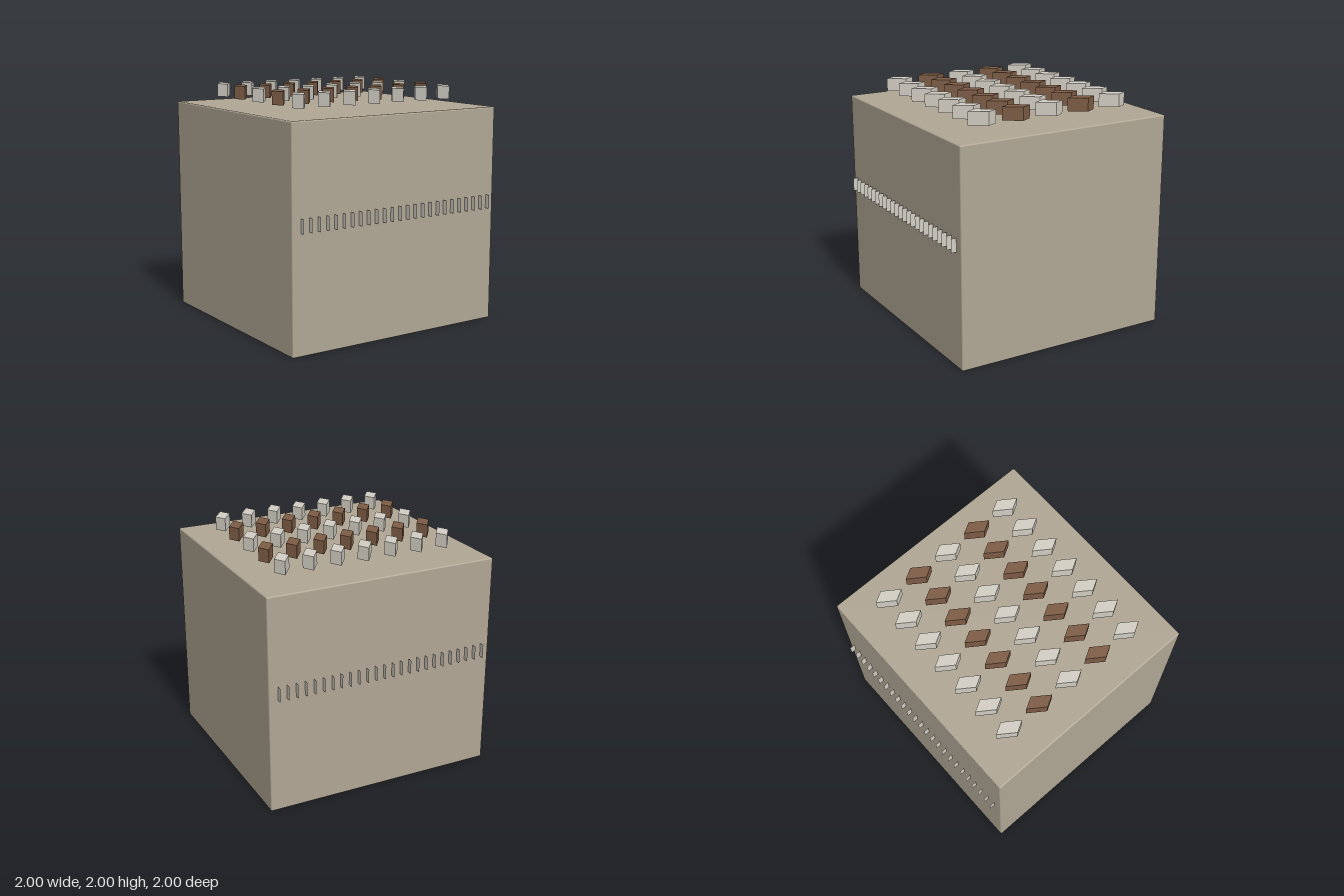
import * as THREE from 'three';
import { RoundedBoxGeometry } from 'three/addons/geometries/RoundedBoxGeometry.js';

const material = (color, side = THREE.FrontSide) => new THREE.MeshStandardMaterial({ color, side });

export function createModel() {
  const model = new THREE.Group();
  const add = (name, geometry, mat, x, y, z) => {
    const mesh = new THREE.Mesh(geometry, mat);
    mesh.name = name;
    mesh.position.set(x, y, z);
    model.add(mesh);
  };

  const pale = material(0xd2cec4);
  const brown = material(0x7d5c45);
  const paleThin = material(0xd2cec4, THREE.DoubleSide);

  // Main block with finely rounded edges
  add('body', new RoundedBoxGeometry(2, 1.83, 1.91, 3, 0.012), material(0xb0a694), 0, 0.915, 0);

  // Slanted tiles hovering over the top, in alternating pale and brown rows
  const outline = new THREE.Shape([
    [0.022, 0.113], [-0.073, -0.022], [-0.022, -0.113], [0.073, 0.022],
  ].map(([x, y]) => new THREE.Vector2(x, y)));
  const tile = new THREE.ExtrudeGeometry(outline, { depth: 0.11, bevelEnabled: false });
  tile.rotateX(-Math.PI / 2);
  for (let row = 0; row < 5; row++) {
    for (let col = 0; col < 7; col++) {
      const isBrown = row % 2 === 1;
      add(isBrown ? 'brownTile' : 'paleTile', tile, isBrown ? brown : pale,
        (col - 3) * 0.24, 1.89, (row - 2) * 0.306 - 0.003);
    }
  }

  // Paper-thin upright fins across the front and back
  const fin = new THREE.PlaneGeometry(0.06, 0.115).rotateY(Math.PI / 2);
  for (const side of [1, -1]) {
    for (let i = 0; i < 25; i++) {
      add(side > 0 ? 'frontFin' : 'backFin', fin, paleThin, (i - 12) * 0.0769, 1.0325, side * 0.97);
    }
  }

  return model;
}
